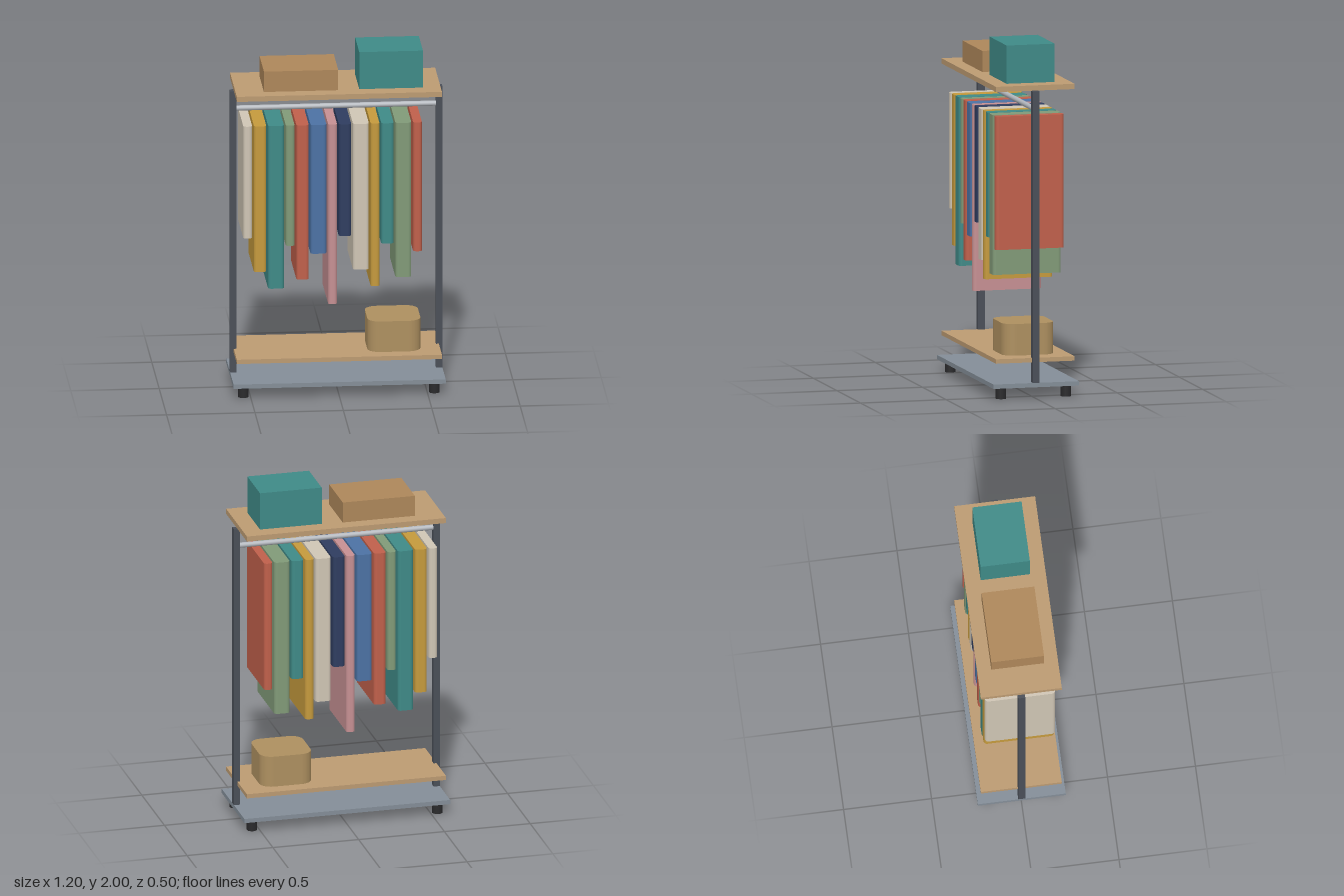
import * as THREE from 'three';

export function createModel() {
  const root = new THREE.Group();
  root.name = 'clothesRack';

  const add = (name, geometry, color, x, y, z, parent = root) => {
    const mesh = new THREE.Mesh(geometry, new THREE.MeshStandardMaterial({ color }));
    mesh.name = name;
    mesh.position.set(x, y, z);
    parent.add(mesh);
    return mesh;
  };
  // Box given by centre x, bottom y and size
  const box = (name, color, x, y, w, h, d) =>
    add(name, new THREE.BoxGeometry(w, h, d), color, x, y + h / 2, 0);

  // Upright block whose plan is a rounded rectangle, standing on y = 0
  const roundedBlock = (w, h, d, r) => {
    const s = new THREE.Shape();
    const a = w / 2, b = d / 2;
    s.moveTo(a, -b + r);
    s.absarc(a - r, b - r, r, 0, Math.PI / 2);
    s.absarc(-a + r, b - r, r, Math.PI / 2, Math.PI);
    s.absarc(-a + r, -b + r, r, Math.PI, Math.PI * 1.5);
    s.absarc(a - r, -b + r, r, Math.PI * 1.5, Math.PI * 2);
    s.closePath();
    return new THREE.ExtrudeGeometry(s, { depth: h, bevelEnabled: false, curveSegments: 6 })
      .rotateX(-Math.PI / 2);
  };

  // Frame: base plate, casters, posts and hanging rail
  box('basePlate', 0x848e98, 0, 0.065, 1.2, 0.025, 0.5);
  for (const sx of [-1, 1]) {
    box(sx > 0 ? 'leftPost' : 'rightPost', 0x4a4f58, sx * 0.582, 0.09, 0.036, 1.66, 0.04);
    for (const sz of [-1, 1]) {
      add('caster', new THREE.CylinderGeometry(0.03, 0.03, 0.065, 16), 0x2a2a2c,
        sx * 0.54, 0.0325, sz * 0.19);
    }
  }
  add('hangingRail', new THREE.CylinderGeometry(0.015, 0.015, 1.13, 16).rotateZ(Math.PI / 2),
    0xb4b8be, 0, 1.645, 0);

  // Shelves
  box('lowerShelf', 0xbc9b72, 0, 0.205, 1.16, 0.025, 0.46);
  box('topShelf', 0xbc9b72, 0, 1.752, 1.16, 0.03, 0.46);

  // Storage
  box('flatBox', 0xae875a, -0.21, 1.782, 0.42, 0.12, 0.3);
  box('tallBox', 0x3f8a87, 0.3, 1.782, 0.36, 0.218, 0.28);
  add('basket', roundedBlock(0.3, 0.18, 0.3, 0.07), 0xae9060, 0.32, 0.23, 0);

  // Garments in a row: widths, lengths and colours repeat in cycles
  const garments = new THREE.Group();
  garments.name = 'garments';
  root.add(garments);
  const widths = [0.05, 0.07, 0.09];
  const bottoms = [0.935, 0.735, 0.635, 0.885, 0.685, 0.835, 0.535];
  const colors = [0xd0c6b5, 0xc59a3d, 0x3f8a87, 0x819a78, 0xc0604b, 0x4c72a4, 0xc69093, 0x2f3d60];
  const top = 1.595;
  let x = -0.54;
  for (let i = 0; i < 13; i++) {
    const w = widths[i % 3];
    const bottom = bottoms[i < 7 ? i : i - 7];
    add('garment', roundedBlock(w, top - bottom, 0.4, 0.02), colors[i % 8], x + w / 2, bottom, 0, garments);
    x += w + 0.01;
  }
  return root;
}
